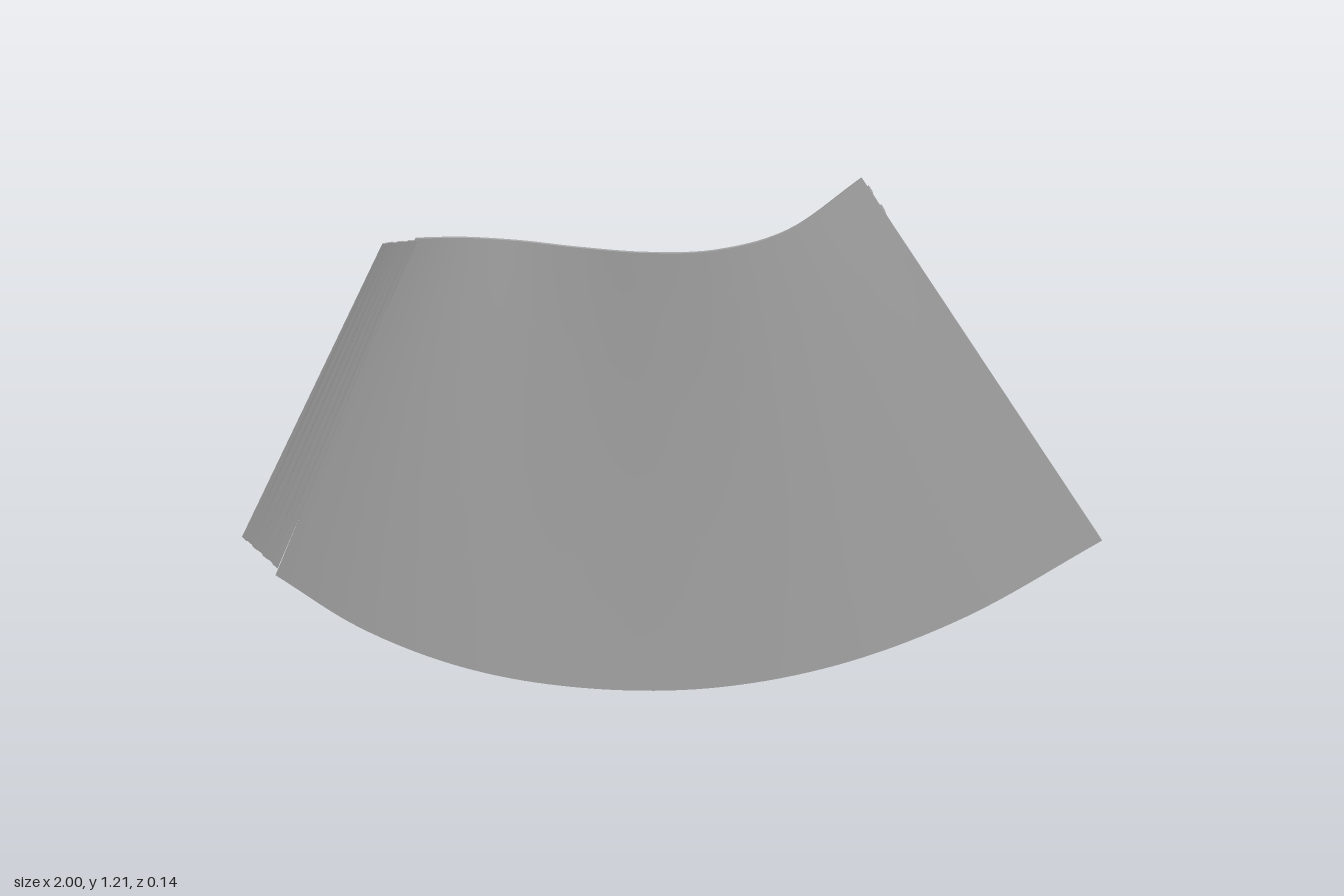
import * as THREE from 'three';
import { toCreasedNormals } from 'three/addons/utils/BufferGeometryUtils.js';

const curve = (pts) => new THREE.CatmullRomCurve3(pts.map((p) => new THREE.Vector3(...p)), false, 'centripetal');

// Upper and lower edges of the curved panel, from its right to its left
const upper = curve([
  [-0.55, 1.09, 0.043], [-0.45, 1.085, 0.018], [-0.33, 1.074, 0.004], [-0.2, 1.063, 0.016],
  [-0.05, 1.058, 0.037], [0.1, 1.066, 0.043], [0.25, 1.106, 0.03], [0.41, 1.215, 0.0],
]);
const lower = curve([
  [-0.92, 0.26, -0.022], [-0.72, 0.142, 0.016], [-0.48, 0.055, 0.043], [-0.22, 0.012, 0.055],
  [0.08, 0.01, 0.054], [0.38, 0.06, 0.033], [0.68, 0.165, -0.008], [1.0, 0.34, -0.063],
]);
const THICK = 0.01;

// Closed solid through rings of points: front side downwards, then back side upwards
function loft(rings) {
  const pos = [];
  const n = rings[0].length;
  const quad = (a, b, c, d) => [a, b, c, a, c, d].forEach((p) => pos.push(p.x, p.y, p.z));
  for (let i = 0; i < rings.length - 1; i++) {
    for (let j = 0; j < n; j++) {
      const k = (j + 1) % n;
      quad(rings[i][j], rings[i][k], rings[i + 1][k], rings[i + 1][j]);
    }
  }
  const first = rings[0], last = rings[rings.length - 1];
  for (let k = 0; k < n / 2 - 1; k++) {
    quad(first[n - 1 - k], first[n - 2 - k], first[k + 1], first[k]);
    quad(last[k], last[k + 1], last[n - 2 - k], last[n - 1 - k]);
  }
  const g = new THREE.BufferGeometry();
  g.setAttribute('position', new THREE.Float32BufferAttribute(pos, 3));
  return toCreasedNormals(g, 0.5);
}

// Point a distance d below the upper edge, moved back by depth
function below(t, d, depth) {
  const p = upper.getPoint(t);
  const dir = lower.getPoint(t).sub(p).normalize();
  p.addScaledVector(dir, d);
  p.z -= depth;
  return p;
}

export function createModel() {
  const model = new THREE.Group();
  model.name = 'curvedPanel';
  const grey = new THREE.MeshStandardMaterial({ color: 0xa6a6a6 });
  grey.name = 'grey';
  const add = (parent, name, geometry) => {
    const mesh = new THREE.Mesh(geometry, grey);
    mesh.name = name;
    parent.add(mesh);
  };

  // Main panel, ruled between the two edges
  const rings = [];
  const rows = 6;
  for (let i = 0; i <= 64; i++) {
    const a = upper.getPoint(i / 64), b = lower.getPoint(i / 64);
    const front = [];
    for (let j = 0; j <= rows; j++) front.push(a.clone().lerp(b, j / rows));
    const back = front.map((p) => new THREE.Vector3(p.x, p.y, p.z - THICK)).reverse();
    rings.push([...front, ...back]);
  }
  add(model, 'panel', loft(rings));

  // Channel rail on the back: two flanges and a thin web
  const rail = new THREE.Group();
  rail.name = 'backRail';
  model.add(rail);
  const bar = (name, d0, d1, depth) => {
    const r = [];
    for (let i = 0; i <= 36; i++) {
      const t = THREE.MathUtils.lerp(2 / 7, 1, i / 36);
      const z0 = THICK - 0.002;
      r.push([below(t, d0, z0), below(t, d1, z0), below(t, d1, depth), below(t, d0, depth)]);
    }
    add(rail, name, loft(r));
  };
  bar('upperFlange', 0.035, 0.05, 0.052);
  bar('lowerFlange', 0.087, 0.102, 0.052);
  bar('railWeb', 0.05, 0.087, 0.016);

  // Ribbed joining strip along the side, made of alternating slats
  const strip = new THREE.Group();
  strip.name = 'ribbedStrip';
  model.add(strip);
  const topOut = new THREE.Vector3(-0.618, 1.085, 0.068), topIn = new THREE.Vector3(-0.545, 1.085, 0.042);
  const lowOut = new THREE.Vector3(-1.0, 0.34, -0.06), lowIn = new THREE.Vector3(-0.915, 0.275, -0.026);
  const slats = 7;
  for (let k = 0; k < slats; k++) {
    const shift = k % 2 ? -0.004 : 0;
    const ring = (s) => {
      const a = topOut.clone().lerp(topIn, s), b = lowOut.clone().lerp(lowIn, s);
      a.z += shift;
      b.z += shift;
      const back = new THREE.Vector3(0, 0, -0.008);
      return [a, b, b.clone().add(back), a.clone().add(back)];
    };
    add(strip, 'slat', loft([ring(k / slats), ring((k + 1) / slats)]));
  }
  return model;
}
